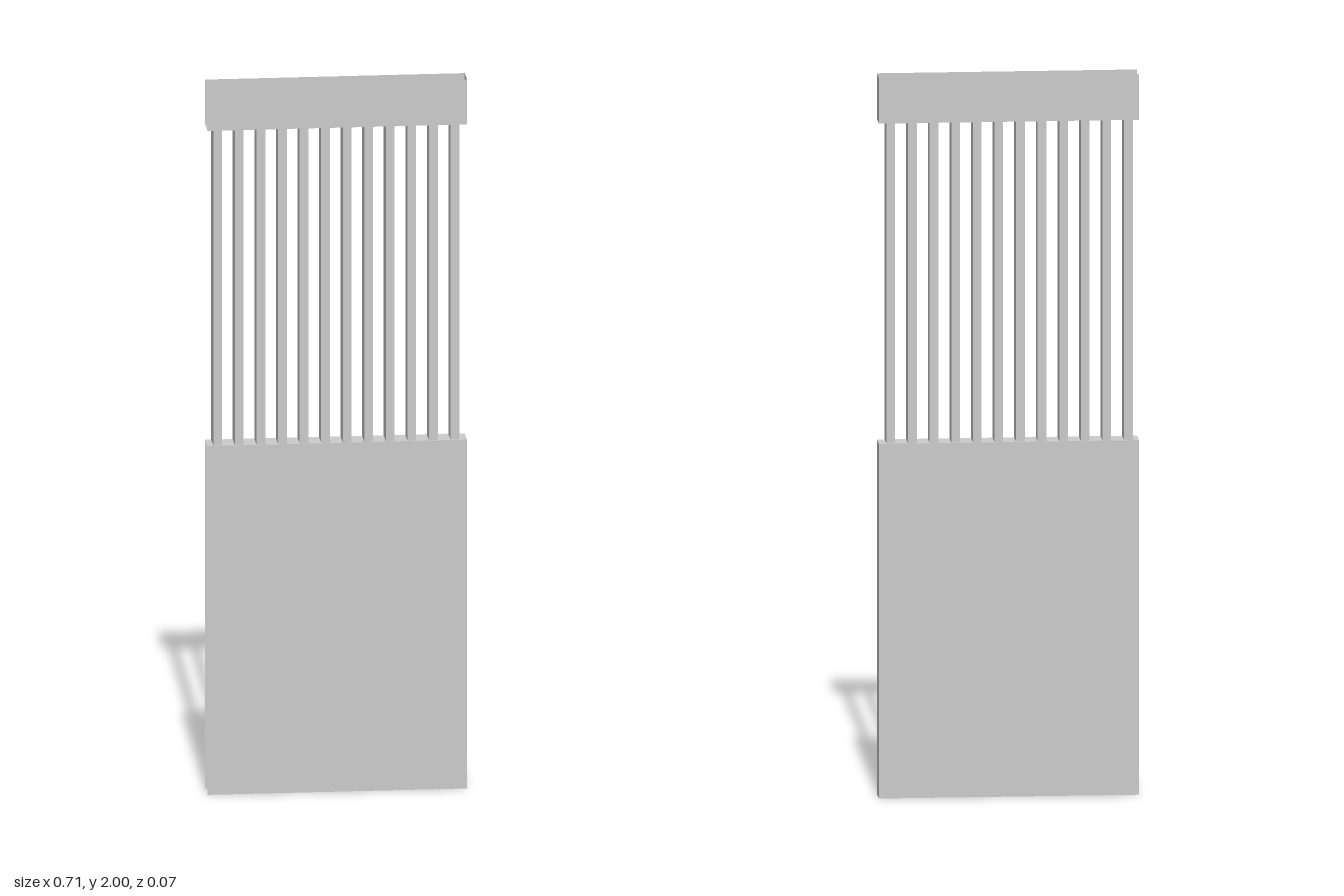
import * as THREE from 'three';

const W = 0.712, D = 0.068;            // overall width and depth
const RAIL_Y = 1.873, PANEL_Y = 0.984; // underside of rail, top of panel

const material = new THREE.MeshStandardMaterial({
  color: 0xcccccc, flatShading: true, side: THREE.DoubleSide,
});

// One thin sheet, turned and then moved into place
function sheet(name, w, h, pos, rx = 0, ry = 0) {
  const mesh = new THREE.Mesh(new THREE.PlaneGeometry(w, h), material);
  mesh.name = name;
  mesh.rotation.set(rx, ry, 0);
  mesh.position.set(...pos);
  return mesh;
}

// Thin-walled casing: front, back, left end and one cap; the other sides are open
function casing(name, y0, y1, capY, capTurn) {
  const group = new THREE.Group();
  group.name = name;
  const h = y1 - y0, y = (y0 + y1) / 2;
  group.add(
    sheet(name + 'Front', W, h, [0, y, D / 2]),
    sheet(name + 'Back', W, h, [0, y, -D / 2], 0, Math.PI),
    sheet(name + 'LeftEnd', D, h, [W / 2, y, 0], 0, Math.PI / 2),
    sheet(name + 'Cap', W, D, [0, capY, 0], capTurn),
  );
  return group;
}

export function createModel() {
  const model = new THREE.Group();
  model.name = 'slattedPanel';

  // Lower panel with a closed top, upper rail with a closed underside
  model.add(casing('lowerPanel', 0, PANEL_Y, PANEL_Y, -Math.PI / 2));
  model.add(casing('topRail', RAIL_Y, 2, RAIL_Y, Math.PI / 2));

  // Row of upright slats between panel and rail
  const slats = new THREE.Group();
  slats.name = 'slats';
  const count = 12, pitch = 0.0591;
  const slatGeometry = new THREE.BoxGeometry(0.024, RAIL_Y - PANEL_Y, 0.062);
  for (let i = 0; i < count; i++) {
    const slat = new THREE.Mesh(slatGeometry, material);
    slat.name = 'slat' + (i + 1);
    slat.position.set((i - (count - 1) / 2) * pitch - 0.002, (RAIL_Y + PANEL_Y) / 2, 0);
    slats.add(slat);
  }
  model.add(slats);

  return model;
}
